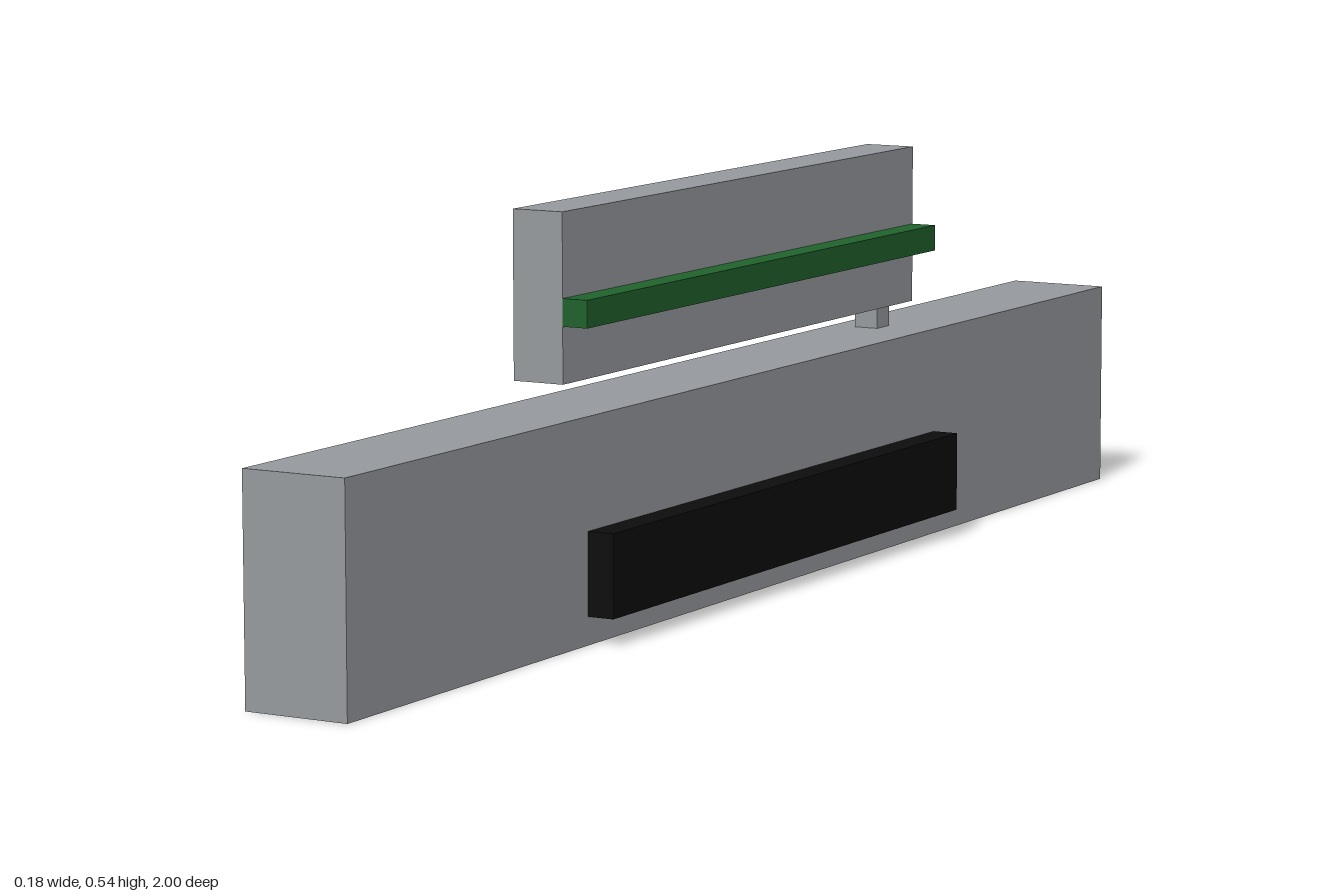
import * as THREE from 'three';

export function createModel() {
  const model = new THREE.Group();
  const grey = new THREE.MeshStandardMaterial({ name: 'grey', color: 0x969a9e });
  const green = new THREE.MeshStandardMaterial({ name: 'green', color: 0x20622c });
  const black = new THREE.MeshStandardMaterial({ name: 'black', color: 0x0d0d0d });

  // Box given by its extents along each axis
  function block(name, material, [x0, x1], [y0, y1], [z0, z1]) {
    const mesh = new THREE.Mesh(new THREE.BoxGeometry(x1 - x0, y1 - y0, z1 - z0), material);
    mesh.position.set((x0 + x1) / 2, (y0 + y1) / 2, (z0 + z1) / 2);
    mesh.name = name;
    model.add(mesh);
  }

  const span = [-0.464, 0.464]; // shared length of the shorter parts

  // Long base beam with a raised pad on its side
  block('baseBeam', grey, [-0.089, 0.053], [0, 0.286], [-1, 1]);
  block('sidePad', black, [0.053, 0.089], [0.036, 0.143], span);

  // Upper panel held by a single post at the back, with a side rail
  block('supportPost', grey, [-0.053, -0.018], [0.286, 0.323], [-0.464, -0.429]);
  block('upperPanel', grey, [-0.053, 0.018], [0.323, 0.537], span);
  block('sideRail', green, [0.018, 0.053], [0.395, 0.43], span);

  return model;
}
